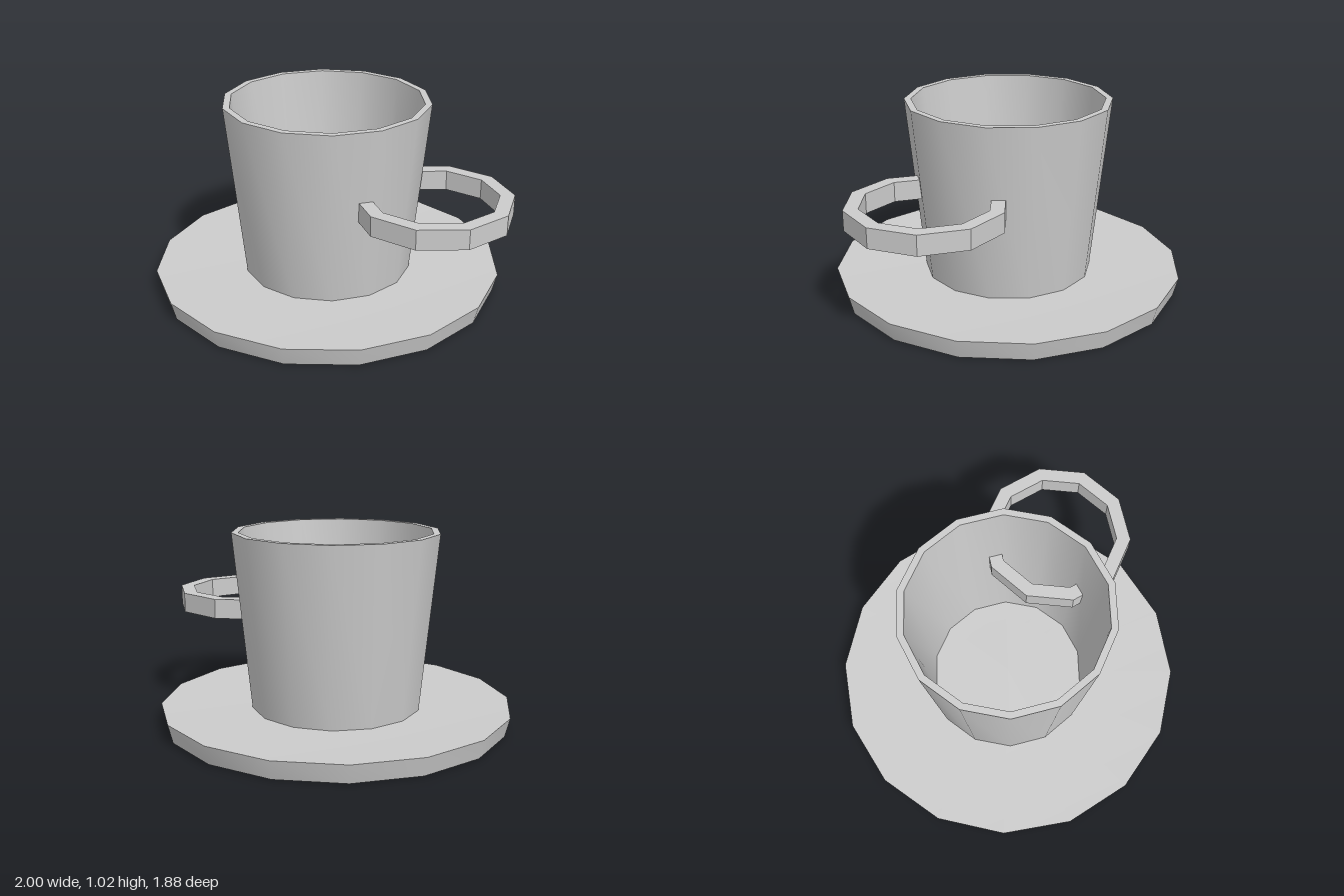
import * as THREE from 'three';
import { toCreasedNormals } from 'three/addons/utils/BufferGeometryUtils.js';

const material = new THREE.MeshStandardMaterial({ color: 0xcccccc });

// Turned part: profile of [radius, height], first corner on the x axis
function turned(name, profile, sides, x) {
  const points = profile.map(([r, y]) => new THREE.Vector2(r, y));
  const lathe = new THREE.LatheGeometry(points, sides, Math.PI / 2);
  const mesh = new THREE.Mesh(toCreasedNormals(lathe, 0.5), material);
  mesh.name = name;
  mesh.position.x = x;
  return mesh;
}

export function createModel() {
  const group = new THREE.Group();
  group.name = 'cupAndSaucer';

  // Saucer: shallow flared dish with a slightly sunken top
  group.add(turned('saucer', [[0, 0], [0.915, 0], [0.94, 0.1], [0, 0.07]], 16, -0.06));

  // Cup: tapered, hollow, with a thin flat rim
  group.add(turned('cup', [
    [0, 0.06], [0.451, 0.06], [0.547, 1.025],
    [0.511, 1.025], [0.42, 0.08], [0, 0.08],
  ], 14, -0.06));

  // Handle: flat ring lying level, passing through the cup wall
  group.add(turned('handle', [
    [0.33, 0.54], [0.405, 0.54], [0.405, 0.645], [0.33, 0.645], [0.33, 0.54],
  ], 10, 0.595));

  return group;
}
